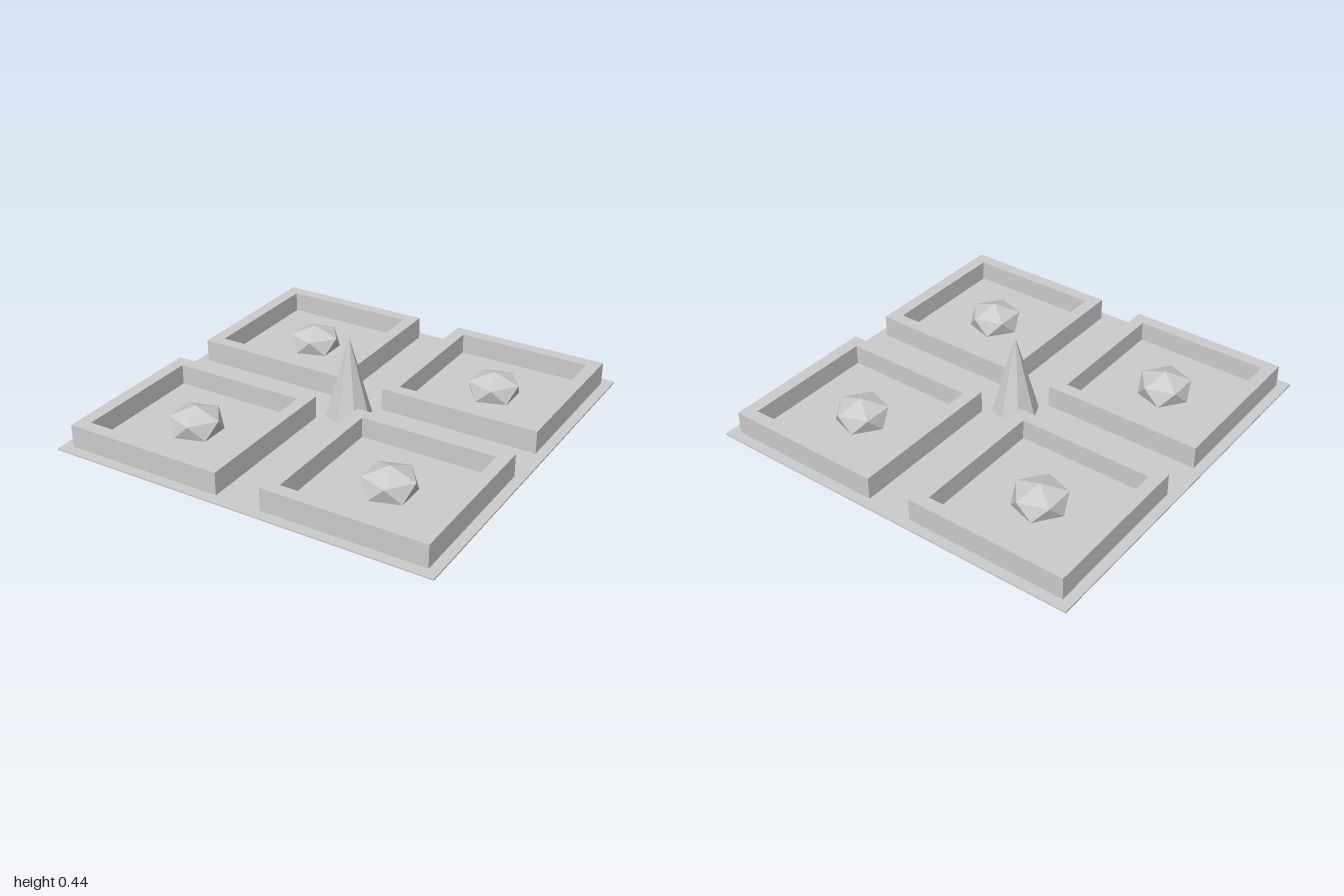
import * as THREE from 'three';
import { ConvexGeometry } from 'three/addons/geometries/ConvexGeometry.js';

const PLATE_TOP = 0.036;
const BED_TOP = 0.153;
const BED_CENTER = 0.533;

// Closed square path of the given half width
function square(path, h) {
  path.moveTo(-h, -h);
  path.lineTo(h, -h);
  path.lineTo(h, h);
  path.lineTo(-h, h);
  path.closePath();
  return path;
}

// Raised square border, open in the middle
function frameGeometry(outer, inner, height) {
  const shape = square(new THREE.Shape(), outer);
  shape.holes.push(square(new THREE.Path(), inner));
  return new THREE.ExtrudeGeometry(shape, { depth: height, bevelEnabled: false }).rotateX(-Math.PI / 2);
}

// Squashed icosahedron standing on a corner
function boulderGeometry(ringRadius, up, down) {
  const points = [new THREE.Vector3(0, up, 0), new THREE.Vector3(0, -down, 0)];
  for (let i = 0; i < 10; i++) {
    const a = (i * Math.PI) / 5;
    const y = i % 2 === 0 ? up * 0.447 : -down * 0.447;
    points.push(new THREE.Vector3(Math.cos(a) * ringRadius, y, Math.sin(a) * ringRadius));
  }
  return new ConvexGeometry(points);
}

export function createModel() {
  const model = new THREE.Group();
  model.name = 'courtyard';
  const stone = new THREE.MeshStandardMaterial({ color: 0xcccccc, flatShading: true });
  stone.name = 'pale grey stone';

  function add(parent, name, geometry, x, y, z) {
    const mesh = new THREE.Mesh(geometry, stone);
    mesh.name = name;
    mesh.position.set(x, y, z);
    parent.add(mesh);
  }

  // Thin ground plate
  add(model, 'groundPlate', new THREE.BoxGeometry(2, 0.008, 2), 0, PLATE_TOP - 0.004, 0);

  // Eight-sided spire in the middle
  const spireHeight = 0.44 - PLATE_TOP;
  add(model, 'spire', new THREE.CylinderGeometry(0.005, 0.117, spireHeight, 8), 0, PLATE_TOP + spireHeight / 2, 0);

  // Four walled beds, each with a floor and a boulder
  const border = frameGeometry(0.415, 0.35, BED_TOP - PLATE_TOP);
  const floor = new THREE.BoxGeometry(0.7, 0.012, 0.7);
  for (const sz of [1, -1]) {
    const boulder = boulderGeometry(0.132, sz > 0 ? 0.09 : 0.083, 0.091);
    for (const sx of [1, -1]) {
      const bed = new THREE.Group();
      bed.name = (sz > 0 ? 'front' : 'back') + (sx > 0 ? 'Left' : 'Right') + 'Bed';
      bed.position.set(sx * BED_CENTER, 0, sz * BED_CENTER);
      add(bed, 'border', border, 0, PLATE_TOP, 0);
      add(bed, 'floor', floor, 0, PLATE_TOP + 0.006, 0);
      add(bed, 'boulder', boulder, 0, 0.091, 0);
      model.add(bed);
    }
  }
  return model;
}
